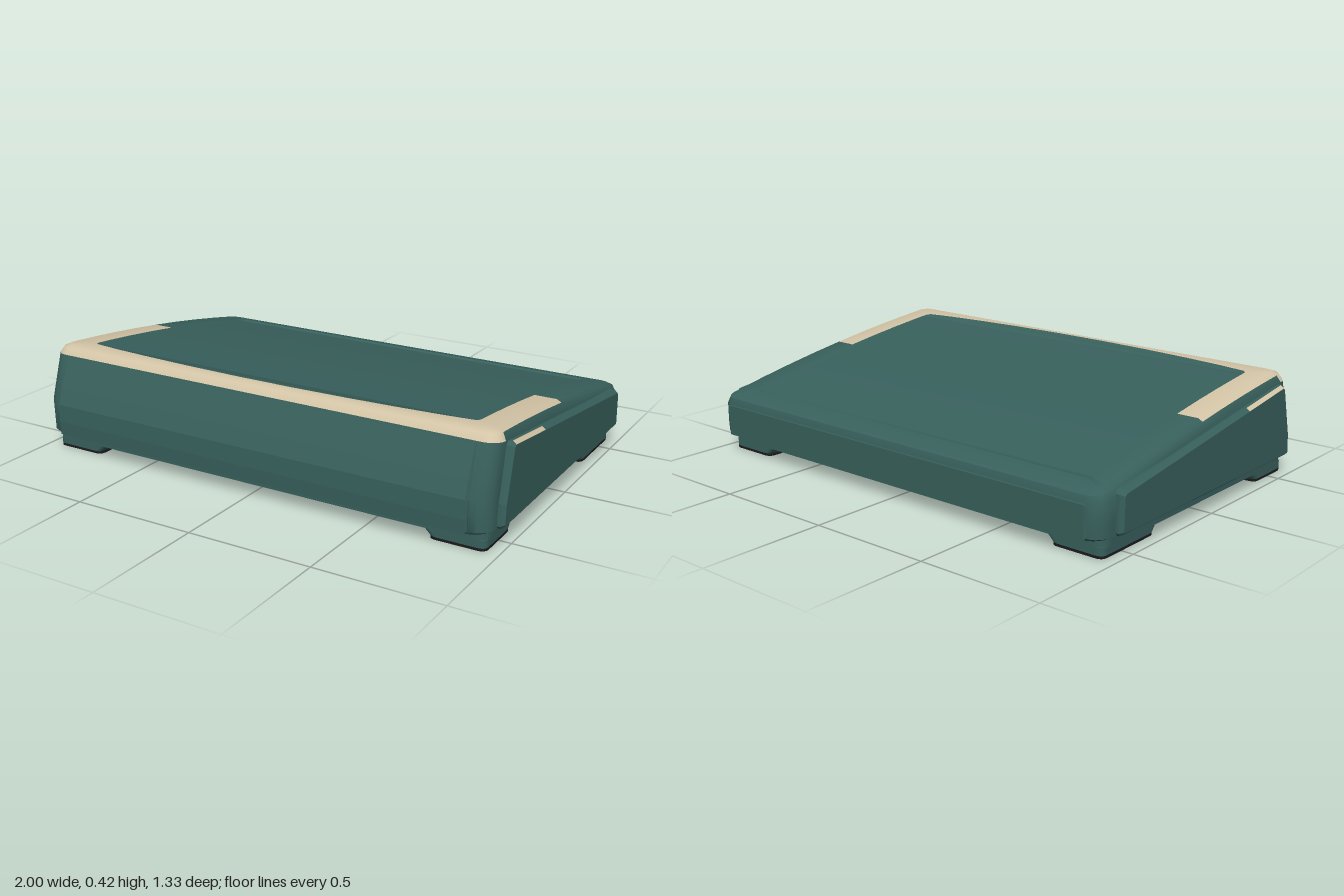
import * as THREE from 'three';
import { toCreasedNormals } from 'three/addons/utils/BufferGeometryUtils.js';

const mat = (name, color) => new THREE.MeshStandardMaterial({ name, color });

// Height of the gently curved sloping top
const topY = (z) => 0.356 + 0.1477 * z - 0.0574 * z * z;

// One rounded-rectangle ring: right half from back to front, then mirrored
function ring({ w, zf, zb, r, bow = 0, y }) {
  const half = [];
  const put = (x, z) => half.push([x, z]);
  const xs = [0.12, 0.35, 0.55, 0.72];
  xs.forEach((x) => put(x, zb));
  for (let i = 0; i <= 5; i++) {
    const a = (i / 5) * Math.PI / 2;
    put(w - r + r * Math.sin(a), zb + r - r * Math.cos(a));
  }
  [-0.45, -0.3, -0.16, -0.02, 0.12, 0.26, 0.38].forEach((z) => put(w, z));
  for (let i = 0; i <= 5; i++) {
    const a = (i / 5) * Math.PI / 2;
    put(w - r + r * Math.cos(a), zf - r + r * Math.sin(a));
  }
  xs.reverse().forEach((x) => put(x, zf + bow * (1 - (x / w) ** 2)));
  const right = half.map(([x, z]) => new THREE.Vector3(x, y(topY(z)), z));
  const left = right.map((p) => new THREE.Vector3(-p.x, p.y, p.z)).reverse();
  return [...right, ...left];
}

// Slab with rounded corners, seen from above
function slab(x0, x1, z0, z1, r, y0, y1) {
  const s = new THREE.Shape();
  s.moveTo(x0 + r, -z1);
  s.lineTo(x1 - r, -z1).quadraticCurveTo(x1, -z1, x1, -z1 + r);
  s.lineTo(x1, -z0 - r).quadraticCurveTo(x1, -z0, x1 - r, -z0);
  s.lineTo(x0 + r, -z0).quadraticCurveTo(x0, -z0, x0, -z0 - r);
  s.lineTo(x0, -z1 + r).quadraticCurveTo(x0, -z1, x0 + r, -z1);
  const g = new THREE.ExtrudeGeometry(s, { depth: y1 - y0, bevelEnabled: false, curveSegments: 6 });
  return g.rotateX(-Math.PI / 2).translate(0, y0, 0);
}

// Side-on (z, y) profile extruded across x and centred on x = 0
function across(points, width, bevel) {
  const s = new THREE.Shape(points.map(([z, y]) => new THREE.Vector2(z, y)));
  const g = new THREE.ExtrudeGeometry(s, {
    depth: width - 2 * bevel, bevelEnabled: true, bevelSegments: 1,
    bevelThickness: bevel, bevelSize: 0.012, bevelOffset: -0.012,
  });
  return g.rotateY(-Math.PI / 2).translate(width / 2 - bevel, 0, 0);
}

export function createModel() {
  const group = new THREE.Group();
  const green = mat('caseGreen', 0x38605c);
  const cream = mat('trimCream', 0xd3c4a6);
  const black = mat('rubberBlack', 0x1c1a1d);
  const add = (name, geometry, material) => {
    const m = new THREE.Mesh(geometry, material);
    m.name = name;
    group.add(m);
    return m;
  };

  // Wedge case, ring by ring from the underside to the recessed top
  const rings = [
    { w: 0.955, zf: 0.64, zb: -0.645, r: 0.07, y: () => 0.068 },
    { w: 0.974, zf: 0.646, zb: -0.656, r: 0.07, y: () => 0.08 },
    { w: 0.975, zf: 0.648, zb: -0.658, r: 0.07, y: (t) => 0.07 + (t - 0.11) * 0.42 },
    { w: 0.972, zf: 0.585, zb: -0.655, r: 0.06, y: (t) => t - 0.037 },
    { w: 0.957, zf: 0.567, zb: -0.645, r: 0.05, y: (t) => t - 0.01 },
    { w: 0.938, zf: 0.545, zb: -0.62, r: 0.04, y: (t) => t },
    { w: 0.85, zf: 0.478, zb: -0.567, r: 0.025, bow: 0.05, y: (t) => t },
    { w: 0.842, zf: 0.47, zb: -0.559, r: 0.022, bow: 0.05, y: (t) => t - 0.007 },
  ].map(ring);
  const faces = { green: [], cream: [] };
  const quad = (key, a, b, c, d) => {
    for (const p of [a, b, c, a, c, d]) faces[key].push(p.x, p.y, p.z);
  };
  const n = rings[0].length;
  // Cream covers the front edge bevel and runs partway back along the top rim
  const creamFrom = { 3: 0.5, 4: -0.021, 5: -0.021 };
  for (let k = 0; k < rings.length - 1; k++) {
    for (let i = 0; i < n; i++) {
      const j = (i + 1) % n;
      const c = [rings[k][i], rings[k + 1][i], rings[k + 1][j], rings[k][j]];
      const minZ = Math.min(...c.map((p) => p.z));
      quad(minZ > (creamFrom[k] ?? 9) ? 'cream' : 'green', ...c);
    }
  }
  const top = rings[rings.length - 1], bottom = rings[0];
  for (let i = 0; i < n / 2 - 1; i++) {
    const l = n - 1 - i;
    quad('green', top[i], top[l], top[l - 1], top[i + 1]);
    quad('green', bottom[i], bottom[i + 1], bottom[l - 1], bottom[l]);
  }
  const toGeometry = (list) => {
    const g = new THREE.BufferGeometry();
    g.setAttribute('position', new THREE.Float32BufferAttribute(list, 3));
    return toCreasedNormals(g, 0.65);
  };
  add('caseBody', toGeometry(faces.green), green);
  add('topTrim', toGeometry(faces.cream), cream);

  // Raised front and back panels
  add('frontPanel', across([[0.6, 0.075], [0.662, 0.075], [0.665, 0.13], [0.662, 0.2],
    [0.64, 0.265], [0.592, 0.379], [0.55, 0.379]], 1.8, 0.008), green);
  add('backPanel', across([[-0.6, 0.075], [-0.6, 0.2], [-0.665, 0.2], [-0.665, 0.075]], 1.84, 0.008), green);

  // Raised side panels with a cream sliver on the upper bevel
  const side = [[0.565, 0.078], [0.576, 0.09], [0.57, 0.17], [0.52, 0.365], [0.505, 0.377],
    [-0.55, 0.238], [-0.566, 0.225], [-0.57, 0.09], [-0.56, 0.078]];
  for (const s of [1, -1]) {
    add('sidePanel', across(side, 0.06, 0.015), green).position.x = s * 0.97;
    const strip = add('sideTrim', new THREE.BoxGeometry(0.018, 0.004, 0.26), cream);
    strip.position.set(s * 0.9925, 0.353, 0.37);
    strip.rotation.set(-0.132, 0, -0.675 * s);
  }

  // Base plate with four flared feet and rubber pads
  add('basePlate', slab(-0.955, 0.955, -0.61, 0.61, 0.05, 0.036, 0.075), green);
  for (const s of [1, -1]) {
    for (const [z0, z1, front] of [[0.4, 0.61, true], [-0.61, -0.3, false]]) {
      const x = s > 0 ? [0.735, 0.952] : [-0.952, -0.735];
      const foot = slab(...x, z0, z1, 0.03, 0.01, 0.04);
      const p = foot.attributes.position;
      for (let i = 0; i < p.count; i++) {
        if (p.getY(i) < 0.03) continue;
        if (Math.abs(p.getX(i)) < 0.8) p.setX(i, p.getX(i) - s * 0.03);
        if (front && p.getZ(i) < 0.5) p.setZ(i, p.getZ(i) - 0.025);
        if (!front && p.getZ(i) > -0.45) p.setZ(i, p.getZ(i) + 0.025);
      }
      foot.computeVertexNormals();
      add('foot', foot, green);
      add('footPad', slab(...x, z0, z1, 0.03, 0, 0.01), black);
    }
  }
  return group;
}
